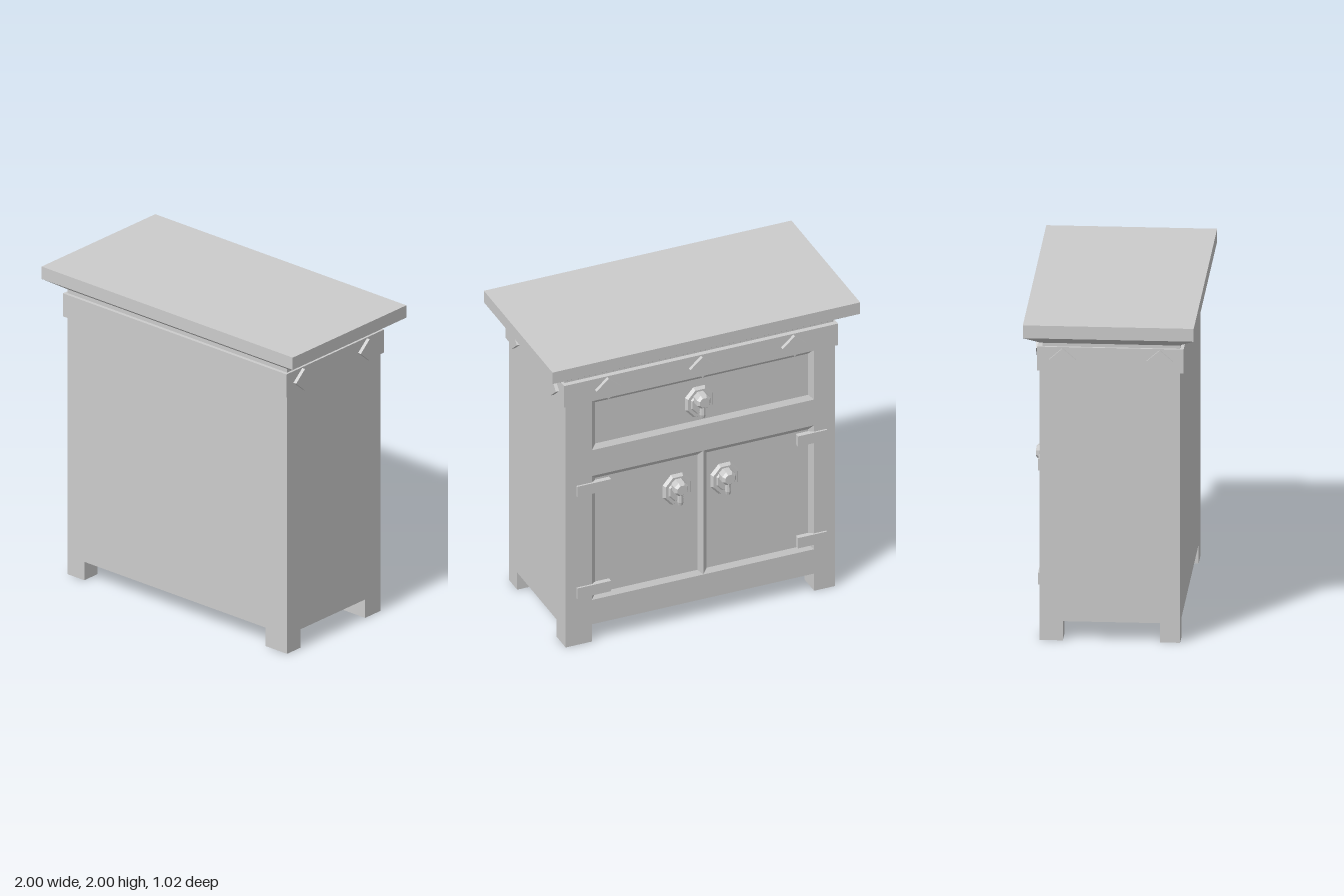
import * as THREE from 'three';

const mat = new THREE.MeshStandardMaterial({ color: 0xcccccc, flatShading: true });

export function createModel() {
  const root = new THREE.Group();

  const add = (name, geo, parent = root) => {
    const m = new THREE.Mesh(geo, mat);
    m.name = name;
    parent.add(m);
    return m;
  };
  // Box given by its limits on each axis
  const box = (name, x0, x1, y0, y1, z0, z1) => {
    const m = add(name, new THREE.BoxGeometry(x1 - x0, y1 - y0, z1 - z0));
    m.position.set((x0 + x1) / 2, (y0 + y1) / 2, (z0 + z1) / 2);
    return m;
  };
  const corners = (x0, x1, y0, y1) => [[x0, y0], [x1, y0], [x1, y1], [x0, y1]];

  const FACE = -0.42, PANEL = -0.4;   // frame plane and recessed panel plane
  const L = 0.705, R = -0.74, MID = -0.02;

  // Carcass and legs
  box('carcass', -0.875, 0.875, 0.12, 1.86, PANEL, 0.42);
  for (const [x0, x1] of [[-0.875, R], [L, 0.875]])
    for (const [z0, z1] of [[FACE, -0.28], [0.3, 0.42]])
      box('leg', x0, x1, 0, 0.12, z0, z1);

  // Face frame with openings for the drawer and the doors
  const frame = new THREE.Shape(corners(-0.875, 0.875, 0.12, 1.75).map(p => new THREE.Vector2(...p)));
  for (const [y0, y1] of [[1.335, 1.683], [0.29, 1.155]])
    frame.holes.push(new THREE.Path(corners(R, L, y0, y1).reverse().map(p => new THREE.Vector2(...p))));
  add('faceFrame', new THREE.ExtrudeGeometry(frame, { depth: PANEL - FACE, bevelEnabled: false }))
    .position.z = FACE;

  // Sloped border running from the frame plane in to a recessed panel
  const bevel = (name, x0, x1, y0, y1, inset = 0.03) => {
    const outer = corners(x0, x1, y0, y1).map(p => [...p, FACE]);
    const inner = corners(x0 + inset, x1 - inset, y0 + inset, y1 - inset).map(p => [...p, PANEL - 0.001]);
    const pos = [];
    for (let i = 0; i < 4; i++) {
      const j = (i + 1) % 4;
      for (const p of [outer[i], inner[i], inner[j], outer[i], inner[j], outer[j]]) pos.push(...p);
    }
    const g = new THREE.BufferGeometry();
    g.setAttribute('position', new THREE.Float32BufferAttribute(pos, 3));
    g.computeVertexNormals();
    add(name, g);
  };
  bevel('drawerBorder', R, L, 1.335, 1.683);
  bevel('rightDoorBorder', R, MID, 0.29, 1.155);
  bevel('leftDoorBorder', MID, L, 0.29, 1.155);

  // Band, sloped moulding and top slab
  box('band', -0.89, 0.89, 1.685, 1.835, -0.432, 0.442);
  const moulding = new THREE.BoxGeometry(2, 0.065, 1.02);
  const mp = moulding.attributes.position;
  for (let i = 0; i < mp.count; i++)
    if (mp.getY(i) < 0) mp.setXYZ(i, mp.getX(i) * 0.875, mp.getY(i), mp.getZ(i) * 0.81);
  moulding.computeVertexNormals();
  add('moulding', moulding).position.y = 1.8875;
  box('topSlab', -1, 1, 1.92, 2, -0.51, 0.51);

  // Diamond studs on the band
  const studShape = new THREE.Shape([[0.08, 0], [0, 0.07], [-0.08, 0], [0, -0.07]].map(p => new THREE.Vector2(...p)));
  const studGeo = new THREE.ExtrudeGeometry(studShape, { depth: 0.04, bevelEnabled: false });
  studGeo.translate(0, 0, -0.02);
  const stud = (x, z, turn) => {
    const m = add('diamondStud', studGeo);
    m.position.set(x, 1.76, z);
    m.rotation.y = turn;
  };
  for (const x of [-0.6, 0, 0.61]) stud(x, -0.435, 0);
  for (const z of [-0.28, 0.3]) {
    stud(0.892, z, Math.PI / 2);
    stud(-0.882, z, Math.PI / 2);
  }

  // Door hinges
  for (const y of [0.365, 1.075]) {
    box('leftHinge', 0.585, 0.805, y - 0.036, y + 0.036, -0.432, PANEL);
    box('rightHinge', -0.82, -0.63, y - 0.036, y + 0.036, -0.432, PANEL);
  }

  // Drop handles: octagonal plate, faceted boss and hanging drop
  const handle = (name, x, y) => {
    const g = new THREE.Group();
    g.name = name;
    g.position.set(x, y, PANEL);
    const disc = (part, r0, r1, z0, z1, dy, sides, sy = 1) => {
      const geo = new THREE.CylinderGeometry(r1, r0, z1 - z0, sides);
      geo.rotateY(Math.PI / sides).rotateX(-Math.PI / 2).scale(1, sy, 1);
      add(part, geo, g).position.set(0, dy, -(z0 + z1) / 2);
    };
    disc('plate', 0.098, 0.085, 0, 0.02, 0, 8, 1.15);
    disc('plateRim', 0.07, 0.058, 0.015, 0.03, 0, 8, 1.15);
    disc('boss', 0.048, 0.048, 0.02, 0.07, 0.035, 8);
    disc('bossCap', 0.048, 0.034, 0.07, 0.087, 0.035, 8);
    const drop = [[0, -0.09], [0.014, -0.082], [0.02, -0.06], [0.016, 0.02], [0, 0.02]];
    add('drop', new THREE.LatheGeometry(drop.map(p => new THREE.Vector2(...p)), 8), g)
      .position.z = -0.055;
    root.add(g);
  };
  handle('drawerHandle', 0, 1.495);
  handle('leftDoorHandle', 0.145, 0.92);
  handle('rightDoorHandle', -0.165, 0.92);

  return root;
}
